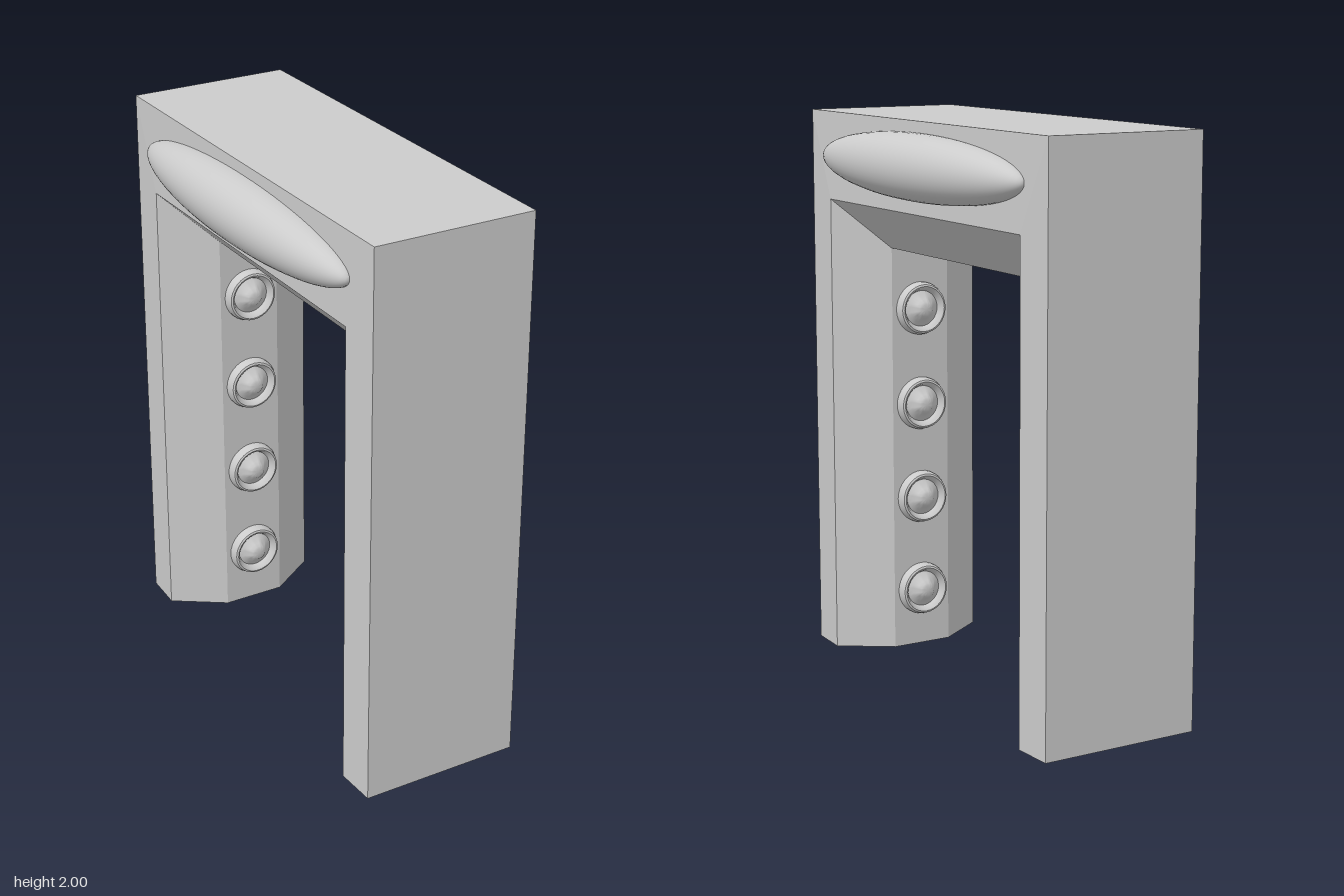
import * as THREE from 'three';
import { toCreasedNormals } from 'three/addons/utils/BufferGeometryUtils.js';

const material = new THREE.MeshStandardMaterial({ color: 0xcccccc });

function addMesh(parent, name, geometry) {
  const mesh = new THREE.Mesh(geometry, material);
  mesh.name = name;
  parent.add(mesh);
  return mesh;
}

// Six-sided section (x, half depth, height) swept up one leg, across and down the other
function archGeometry() {
  const section = [
    [0.29, 0.8, 2], [0.297, 0.65, 1.685], [0.115, 0.527, 1.508],
    [-0.115, 0.527, 1.508], [-0.297, 0.65, 1.685], [-0.29, 0.8, 2],
  ];
  const stations = [[1, 0], [1, 1], [-1, 1], [-1, 0]];
  const rings = stations.map(([s, up]) =>
    section.map(([x, z, y]) => [x, y * up, z * s]));
  const positions = [];
  const tri = (a, b, c) => positions.push(...a, ...b, ...c);
  const n = section.length;
  for (let i = 0; i < rings.length - 1; i++) {
    for (let j = 0; j < n; j++) {
      const k = (j + 1) % n;
      const a = rings[i][j], b = rings[i][k], c = rings[i + 1][k], d = rings[i + 1][j];
      tri(a, c, d);
      tri(a, b, c);
    }
  }
  // Feet
  const first = rings[0], last = rings[rings.length - 1];
  for (let j = 1; j < n - 1; j++) {
    tri(first[0], first[j + 1], first[j]);
    tri(last[0], last[j], last[j + 1]);
  }
  const geometry = new THREE.BufferGeometry();
  geometry.setAttribute('position', new THREE.Float32BufferAttribute(positions, 3));
  geometry.computeVertexNormals();
  return geometry;
}

// Round stud: raised rim, hollow and small central nub, facing +z
function studGeometry() {
  const profile = [
    [0.098, -0.01], [0.097, 0.012], [0.09, 0.033], [0.083, 0.036], [0.076, 0.032],
    [0.066, 0.012], [0.05, 0.022], [0.036, 0.036], [0.027, 0.046], [0.018, 0.05], [0, 0.05],
  ].map(([r, h]) => new THREE.Vector2(r, h));
  const lathe = new THREE.LatheGeometry(profile, 32).rotateX(Math.PI / 2);
  return toCreasedNormals(lathe, 0.8);
}

export function createModel() {
  const model = new THREE.Group();
  model.name = 'archway';
  addMesh(model, 'archFrame', archGeometry());

  // Long rounded bulges on both sides of the lintel
  const bulge = new THREE.SphereGeometry(1, 40, 32).rotateX(Math.PI / 2).scale(0.115, 0.115, 0.668);
  for (const side of [1, -1]) {
    addMesh(model, side > 0 ? 'leftBulge' : 'rightBulge', bulge).position.set(side * 0.297, 1.846, 0);
  }

  // Four studs on the inner face of each leg
  const stud = studGeometry();
  for (const end of [1, -1]) {
    const column = new THREE.Group();
    column.name = end > 0 ? 'frontLegStuds' : 'backLegStuds';
    column.position.z = end * 0.527;
    if (end > 0) column.rotation.y = Math.PI;
    for (let i = 0; i < 4; i++) {
      addMesh(column, 'stud', stud).position.y = 0.215 + i * 0.355;
    }
    model.add(column);
  }
  return model;
}
